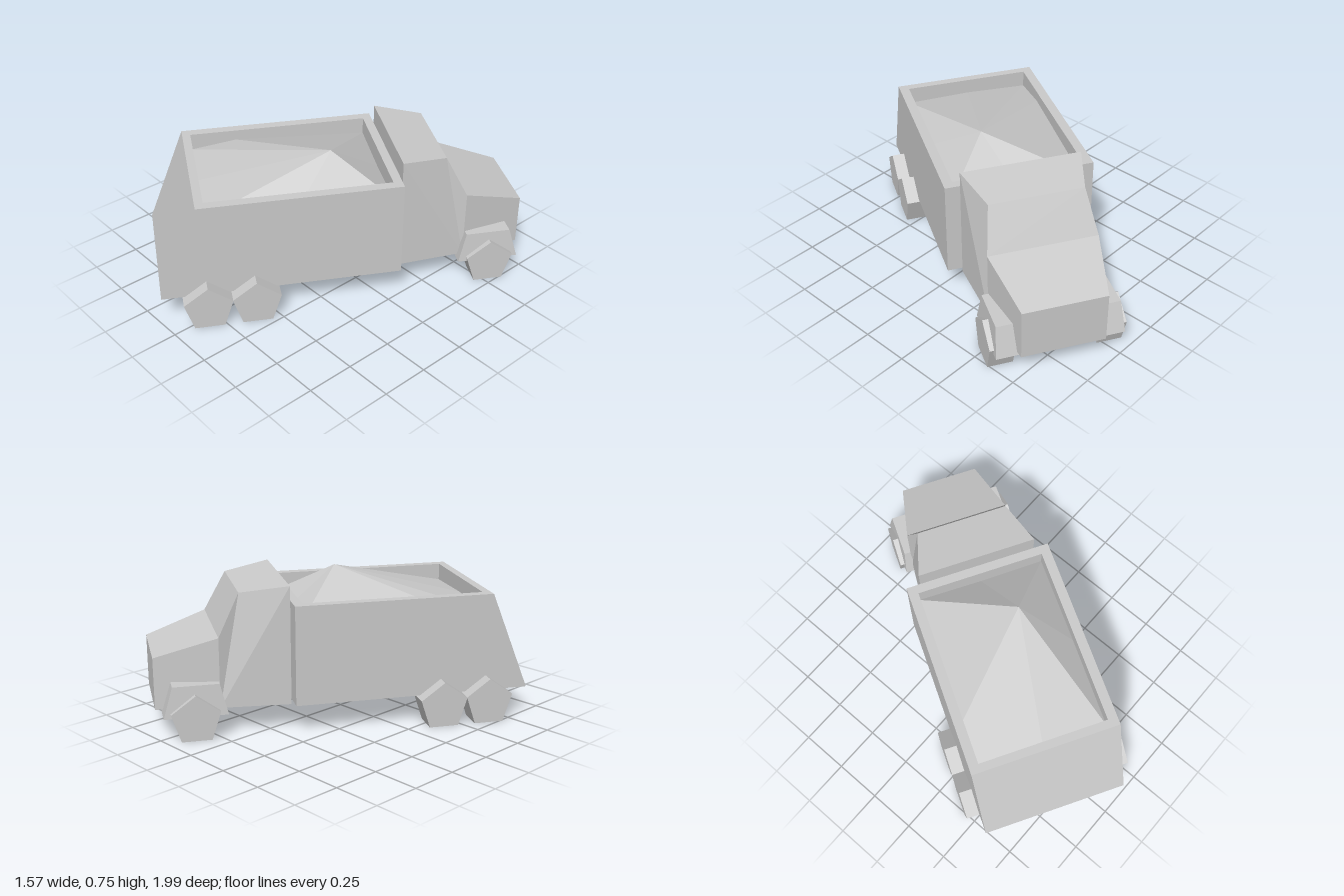
import * as THREE from 'three';

const material = new THREE.MeshStandardMaterial({ color: 0xcccccc, flatShading: true });

function addMesh(parent, name, geometry) {
  const mesh = new THREE.Mesh(geometry, material);
  mesh.name = name;
  parent.add(mesh);
  return mesh;
}

// Flat-shaded geometry from convex polygons, each a loop of [x, y, z] corners
function fromPolygons(polygons) {
  const positions = [];
  for (const p of polygons) {
    for (let i = 1; i < p.length - 1; i++) positions.push(...p[0], ...p[i], ...p[i + 1]);
  }
  const geometry = new THREE.BufferGeometry();
  geometry.setAttribute('position', new THREE.Float32BufferAttribute(positions, 3));
  geometry.computeVertexNormals();
  return geometry;
}

// Rectangle at height y, counter-clockwise from above
const rect = (x0, x1, back, front, y) => [
  [x1, y, back], [x1, y, front], [x0, y, front], [x0, y, back],
];

// Joins stacked rings with side walls and closes the bottom
function loft(rings, capTop) {
  const polygons = [[...rings[0]].reverse()];
  for (let i = 0; i < rings.length - 1; i++) {
    const a = rings[i], b = rings[i + 1];
    a.forEach((p, j) => {
      const k = (j + 1) % a.length;
      polygons.push([p, a[k], b[k], b[j]]);
    });
  }
  if (capTop) polygons.push(rings[rings.length - 1]);
  return fromPolygons(polygons);
}

export function createModel() {
  const model = new THREE.Group();
  model.name = 'dumpTruck';

  // The truck points along its own -z and is turned as a whole
  const truck = new THREE.Group();
  truck.name = 'truck';
  const turn = -Math.PI / 6;
  truck.rotation.y = turn;
  truck.position.set(0.016 * Math.cos(turn), 0, -0.016 * Math.sin(turn));
  model.add(truck);

  // Open bed with a sloping tail
  addMesh(truck, 'bed', loft([
    rect(-0.386, 0.386, 0.915, -0.32, 0.155),
    rect(-0.386, 0.386, 0.713, -0.32, 0.67),
    rect(-0.336, 0.336, 0.67, -0.274, 0.67),
    rect(-0.336, 0.336, 0.67, -0.274, 0.54),
  ], false));

  // Heap of cargo, a fan around an off-centre peak
  const peak = [0.11, 0.755, -0.003];
  const rim = [
    [0.336, 0.58, 0.67], [0.336, 0.59, 0.2], [0.336, 0.58, -0.274], [0, 0.57, -0.274],
    [-0.336, 0.58, -0.274], [-0.336, 0.615, 0.427], [-0.336, 0.58, 0.67], [0, 0.59, 0.67],
  ];
  addMesh(truck, 'cargo', fromPolygons(rim.map((p, i) => [peak, p, rim[(i + 1) % rim.length]])));

  // Cab and hood: side profile of [half width, y, z], each side a fan from the first point
  const profile = [
    [0.278, 0.14, -0.685], [0.2125, 0.135, -1.006], [0.2125, 0.405, -1.006],
    [0.28, 0.505, -0.685], [0.242, 0.72, -0.574], [0.311, 0.755, -0.329], [0.311, 0.14, -0.329],
  ];
  const mirrored = profile.map(([x, y, z]) => [-x, y, z]);
  const cab = [profile, [mirrored[0], ...mirrored.slice(1).reverse()]];
  profile.forEach((p, i) => {
    const j = (i + 1) % profile.length;
    cab.push([p, mirrored[i], mirrored[j], profile[j]]);
  });
  addMesh(truck, 'cab', fromPolygons(cab));

  // Tapered front fenders
  for (const side of [-1, 1]) {
    const span = (inner, outer) => (side > 0 ? [inner, outer] : [-outer, -inner]);
    addMesh(truck, side > 0 ? 'rightFender' : 'leftFender', loft([
      rect(...span(0.163, 0.326), -0.65, -0.973, 0.12),
      rect(...span(0.163, 0.312), -0.69, -0.925, 0.28),
    ], true));
  }

  // Five-sided wheels, standing on a flat side
  const wheel = new THREE.CylinderGeometry(0.13, 0.13, 0.13, 5);
  wheel.rotateX(-Math.PI / 2);
  wheel.rotateZ(0);
  wheel.rotateY(Math.PI / 2);
  const axles = [
    ['frontWheel', -0.815, 0.281], ['middleWheel', 0.44, 0.389], ['rearWheel', 0.685, 0.389],
  ];
  for (const [name, z, x] of axles) {
    for (const side of [-1, 1]) {
      addMesh(truck, name, wheel).position.set(side * x, 0.106, z);
    }
  }
  return model;
}
